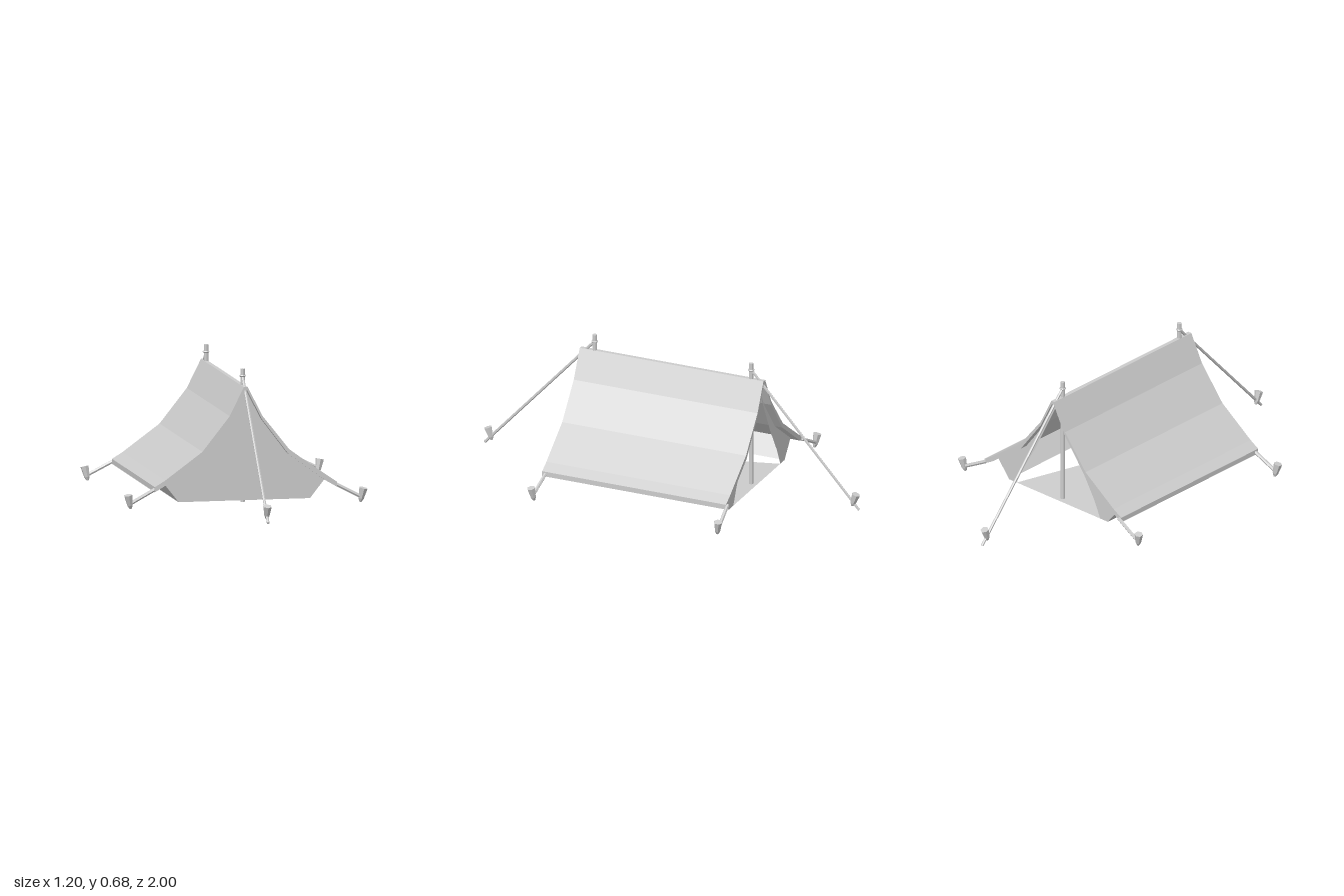
import * as THREE from 'three';

const grey = new THREE.MeshStandardMaterial({ color: 0xcccccc, flatShading: true });
const cloth = new THREE.MeshStandardMaterial({ color: 0xcccccc, flatShading: true, side: THREE.DoubleSide });
const V = (x, y, z) => new THREE.Vector3(x, y, z);

function add(parent, name, geometry, material = grey) {
  const mesh = new THREE.Mesh(geometry, material);
  mesh.name = name;
  parent.add(mesh);
  return mesh;
}

// Right-hand half outline, mirrored into a closed symmetrical loop
const mirrorLoop = (half) => [...half, ...half.map(([x, y]) => [-x, y]).reverse()];
const toVectors = (points) => points.map(([x, y]) => new THREE.Vector2(x, y));

// Straight rod between two points, optionally tapered
function rod(parent, name, a, b, rA, rB = rA, sides = 6) {
  const mesh = add(parent, name, new THREE.CylinderGeometry(rB, rA, a.distanceTo(b), sides));
  mesh.position.copy(a).add(b).multiplyScalar(0.5);
  mesh.quaternion.setFromUnitVectors(V(0, 1, 0), b.clone().sub(a).normalize());
  return mesh;
}

// Surface joining consecutive left/right pairs of points
function strip(pairs) {
  const pos = pairs.flatMap(([a, b]) => [...a.toArray(), ...b.toArray()]);
  const index = [];
  for (let i = 0; i < pairs.length - 1; i++) {
    const k = i * 2;
    index.push(k, k + 1, k + 3, k, k + 3, k + 2);
  }
  const geo = new THREE.BufferGeometry();
  geo.setAttribute('position', new THREE.Float32BufferAttribute(pos, 3));
  geo.setIndex(index);
  geo.computeVertexNormals();
  return geo;
}

// Peg with a flared head and blunt point
function peg(parent, name, tip, head) {
  const g = new THREE.Group();
  g.name = name;
  parent.add(g);
  const neck = tip.clone().lerp(head, 0.25);
  rod(g, 'pegPoint', tip, neck, 0.006, 0.014);
  rod(g, 'pegHead', neck, head, 0.014, 0.021);
}

export function createModel() {
  const tent = new THREE.Group();
  tent.name = 'tent';

  const outer = [[0.45, 0.125], [0.4, 0.155], [0.215, 0.29], [0.08, 0.46], [0.01, 0.6]];
  const inner = [[0.45, 0.1], [0.395, 0.132], [0.21, 0.268], [0.08, 0.44], [0.006, 0.584]];
  const wall = [[0.325, 0.043], ...inner.slice(1)];
  const endZ = 0.45;

  // Roof sheet: thin curved section swept along the ridge
  const section = [...mirrorLoop(outer), ...mirrorLoop(inner).reverse()];
  // The two eaves are joined through the ridge, leaving the underside hollow
  const roofGeo = new THREE.ExtrudeGeometry(new THREE.Shape(toVectors(section)), { depth: 0.975, bevelEnabled: false });
  roofGeo.translate(0, 0, -0.49);
  add(tent, 'roof', roofGeo, cloth);

  // Closed front wall
  const front = add(tent, 'frontWall', new THREE.ShapeGeometry(new THREE.Shape(toVectors(mirrorLoop(wall)))), cloth);
  front.position.z = endZ;

  // Low side walls and the back wall either side of the doorway
  const door = [[0.275, 0.043], [0.235, 0.132], [0.155, 0.268], [0.07, 0.44], [0.004, 0.575]];
  for (const s of [1, -1]) {
    add(tent, 'sideWall', strip([
      [V(s * 0.325, 0.043, endZ), V(s * 0.325, 0.043, -endZ)],
      [V(s * 0.395, 0.132, endZ), V(s * 0.395, 0.132, -endZ)],
    ]), cloth);
    add(tent, 'backWall', strip(wall.map(([x, y], i) => [
      V(s * x, y, -endZ), V(s * door[i][0], door[i][1], -endZ),
    ])), cloth);
  }

  // Door flap folded down into the tent
  const flap = [[0.275, 0.043, -endZ], [0.15, 0.06, -0.13], [0.022, 0.1, 0.1]];
  add(tent, 'doorFlap', strip(flap.map(([x, y, z]) => [V(-x, y, z), V(x, y, z)])), cloth);

  for (const e of [1, -1]) {
    // Upright pole with rope loop, guy rope and end peg
    const poleZ = e > 0 ? 0.41 : -0.42;
    rod(tent, 'pole', V(0, 0.03, poleZ), V(0, 0.68, poleZ), 0.011, 0.011, 8);
    const loop = add(tent, 'ropeLoop', new THREE.TorusGeometry(0.012, 0.005, 5, 8));
    loop.position.set(0, 0.645, poleZ);
    loop.rotation.x = Math.PI / 2;
    rod(tent, 'guyRope', V(0, 0.645, poleZ), V(0, 0.008, e * 0.993), 0.007);
    peg(tent, 'endPeg', V(0, 0.025, e * 0.955), V(0, 0.088, e * 0.977));

    // Corner ropes and pegs
    for (const s of [1, -1]) {
      const z = e > 0 ? 0.468 : -0.492;
      rod(tent, 'cornerRope', V(s * 0.435, 0.118, z), V(s * 0.575, 0.045, z + e * 0.012), 0.009);
      peg(tent, 'cornerPeg', V(s * 0.568, 0.022, z + e * 0.006), V(s * 0.582, 0.09, z + e * 0.016));
    }
  }
  return tent;
}
